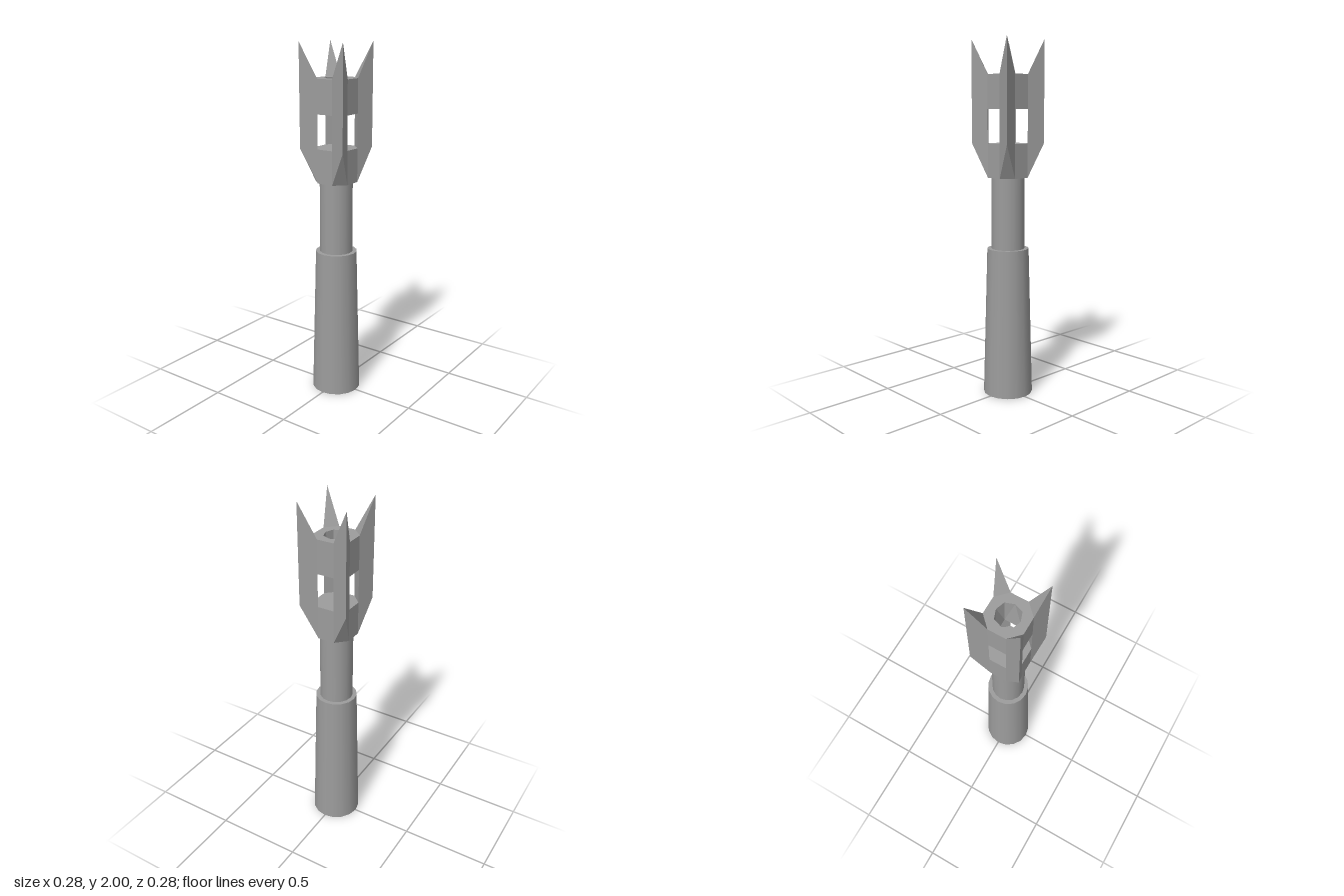
import * as THREE from 'three';

const material = new THREE.MeshStandardMaterial({ color: 0x9c9c9c });
const flat = new THREE.MeshStandardMaterial({ color: 0x9c9c9c, flatShading: true });

// Heights of the head: base, window sill, window top, rim, fin tips
const BASE = 1.247, SILL = 1.435, LINTEL = 1.623, RIM = 1.81, TIP = 2;

// Plan points of one quarter of the head, as functions of height
const at = (x, z) => (y) => [x, y, z];
const o = at(0, 0);
const a = at(0.048, 0.107), a2 = at(-0.048, 0.107), b = at(0.107, 0.048);
const c = at(0.048, 0.048), c2 = at(-0.048, 0.048);
const h = at(0, 0.065), t = at(0.141, 0.141);

// Builds a faceted geometry from convex polygons, counter-clockwise from outside
function facets(polygons) {
  const pos = [];
  for (const p of polygons) {
    for (let i = 1; i < p.length - 1; i++) pos.push(...p[0], ...p[i], ...p[i + 1]);
  }
  const geo = new THREE.BufferGeometry();
  geo.setAttribute('position', new THREE.Float32BufferAttribute(pos, 3));
  geo.computeVertexNormals();
  return geo;
}

// Upright wall between two plan points
const wall = (p, q, y0, y1) => [p(y0), q(y0), q(y1), p(y1)];
const level = (y, ...pts) => pts.map((p) => p(y));

function add(group, name, geo, mat) {
  const mesh = new THREE.Mesh(geo, mat);
  mesh.name = name;
  group.add(mesh);
  return mesh;
}

export function createModel() {
  const model = new THREE.Group();
  model.name = 'finnedTool';

  // Tapered handle and the stem above it
  add(model, 'handle', new THREE.CylinderGeometry(0.117, 0.14, 0.845, 16), material).position.y = 0.4225;
  add(model, 'stem', new THREE.CylinderGeometry(0.093, 0.093, 0.42, 16), material).position.y = 1.045;

  // Quarter of the head: a solid collar and a crown joined only by the fins
  const quarter = facets([
    wall(a2, a, BASE, SILL),
    wall(a2, a, LINTEL, RIM),
    level(BASE, o, b, a, a2),
    // open chamber: floor and ceiling
    level(SILL, o, a2, a, b),
    level(LINTEL, c2, c, a, a2),
    level(LINTEL, c, b, a),
    // mouth passing from an octagon at the rim to a square in the ceiling
    [c(LINTEL), c2(LINTEL), h(RIM)],
    [c(LINTEL), h(RIM), c(RIM)],
    [c2(LINTEL), c2(RIM), h(RIM)],
    // rim
    level(RIM, a2, a, c),
    level(RIM, a2, c, h),
    level(RIM, a2, h, c2),
    level(RIM, a, b, c),
  ]);

  // Pointed corner fin, its inner face showing in the chamber
  const fin = facets([
    [a(BASE), t(SILL), t(TIP), a(RIM)],
    [t(SILL), b(BASE), b(RIM), t(TIP)],
    [a(BASE), b(BASE), t(SILL)],
    [a(RIM), t(TIP), b(RIM)],
    wall(b, a, SILL, LINTEL),
  ]);

  const head = new THREE.Group();
  head.name = 'head';
  for (let i = 0; i < 4; i++) {
    add(head, 'headQuarter', quarter, flat).rotation.y = (i * Math.PI) / 2;
    add(head, 'fin', fin, flat).rotation.y = (i * Math.PI) / 2;
  }
  model.add(head);
  return model;
}
